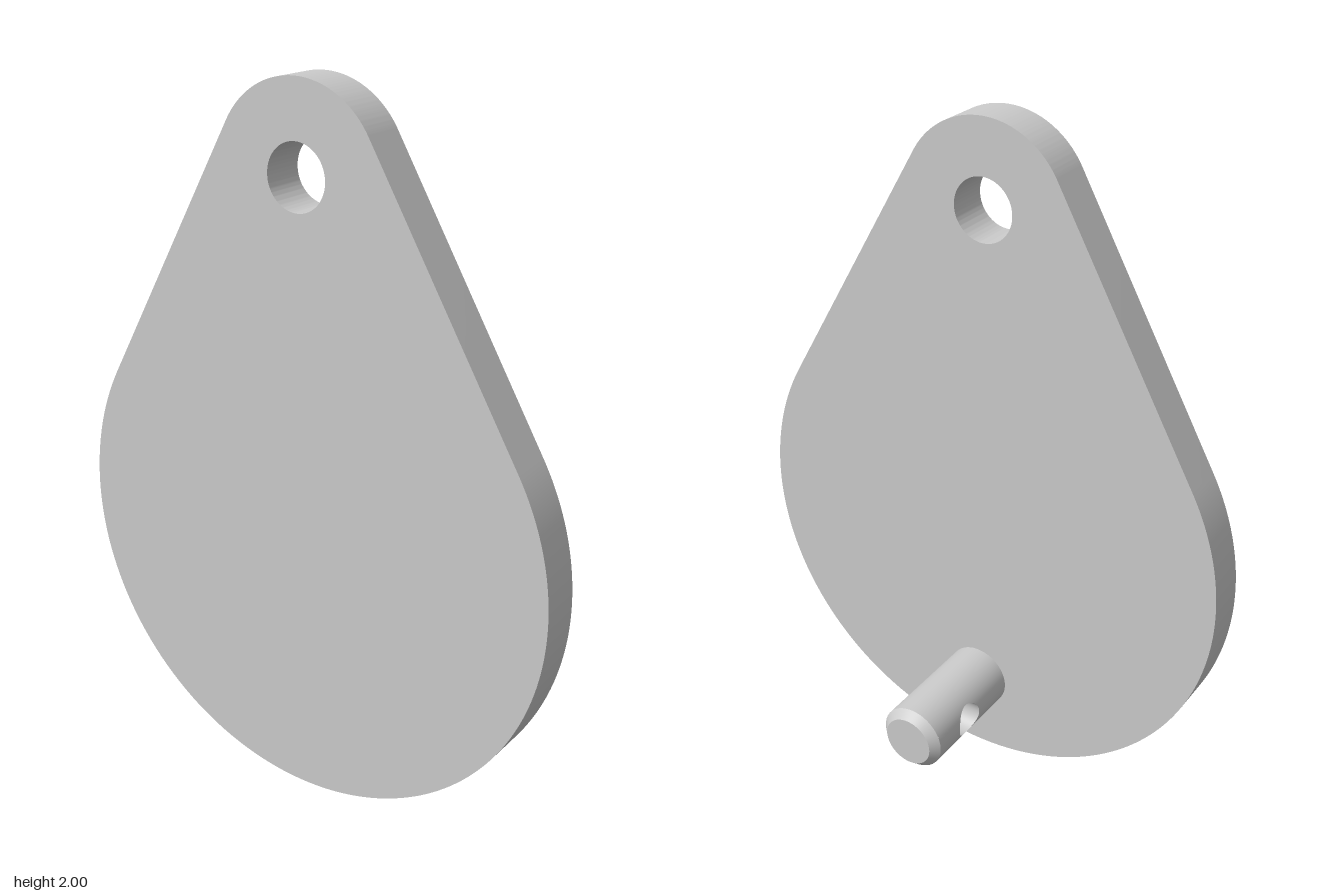
import * as THREE from 'three';
import { toCreasedNormals } from 'three/addons/utils/BufferGeometryUtils.js';

const RAD = Math.PI / 180;
const PLATE_X = -0.25, PLATE_T = 0.125;
const PIN_Y = 0.25, PIN_R = 0.098, PIN_END = 0.25, CHAMFER = 0.025;
const HOLE_X = 0.072, HOLE_R = 0.052;

// Teardrop plate: two circles joined by their outer tangents, with a hanging hole
function plateGeometry() {
  const shape = new THREE.Shape();
  shape.absarc(0, 0.75, 0.75, 150 * RAD, 390 * RAD, false);
  shape.absarc(0, 1.75, 0.25, 30 * RAD, 150 * RAD, false);
  shape.closePath();
  const hole = new THREE.Path();
  hole.absarc(0, 1.755, 0.089, 0, Math.PI * 2, true);
  shape.holes.push(hole);
  const geo = new THREE.ExtrudeGeometry(shape, { depth: PLATE_T, bevelEnabled: false, curveSegments: 96 });
  geo.rotateY(Math.PI / 2).translate(PLATE_X, 0, 0);
  return toCreasedNormals(geo, 0.5);
}

// Half of the pin's wall, wrapped as rings that run from its border to the cross hole
function pinHalfGeometry() {
  const geo = new THREE.PlaneGeometry(1, 1, 96, 10);
  const pos = geo.attributes.position, nor = geo.attributes.normal;
  const left = HOLE_X - (PLATE_X + PLATE_T), right = PIN_END - CHAMFER - HOLE_X;
  for (let i = 0; i < pos.count; i++) {
    const t = (pos.getX(i) + 0.5) * Math.PI * 2, k = 0.5 - pos.getY(i);
    const c = Math.cos(t), s = Math.sin(t), m = Math.max(Math.abs(c), Math.abs(s));
    const x = THREE.MathUtils.lerp(HOLE_R * c, (c / m) * (c > 0 ? right : left), k);
    const a = THREE.MathUtils.lerp(Math.asin(HOLE_R * s / PIN_R), (s / m) * Math.PI / 2, k);
    pos.setXYZ(i, HOLE_X + x, PIN_R * Math.sin(a), PIN_R * Math.cos(a));
    nor.setXYZ(i, 0, Math.sin(a), Math.cos(a));
  }
  return geo;
}

// Wall of the cross hole, its ends trimmed to the round of the pin
function crossHoleGeometry() {
  const geo = new THREE.CylinderGeometry(HOLE_R, HOLE_R, 1, 96, 1, true).rotateX(Math.PI / 2);
  const pos = geo.attributes.position;
  for (let i = 0; i < pos.count; i++) {
    const y = pos.getY(i);
    pos.setZ(i, Math.sign(pos.getZ(i)) * Math.sqrt(PIN_R ** 2 - y ** 2));
  }
  return geo.translate(HOLE_X, 0, 0);
}

export function createModel() {
  const group = new THREE.Group();
  group.name = 'plateWithPin';
  const grey = new THREE.MeshStandardMaterial({ color: 0xcccccc });
  const inside = new THREE.MeshStandardMaterial({ color: 0xcccccc, side: THREE.DoubleSide });
  const add = (parent, name, geo, mat = grey) => {
    const mesh = new THREE.Mesh(geo, mat);
    mesh.name = name;
    parent.add(mesh);
    return mesh;
  };

  add(group, 'plate', plateGeometry());

  // Pin with a cross hole and a chamfered tip
  const pin = new THREE.Group();
  pin.name = 'pin';
  pin.position.y = PIN_Y;
  group.add(pin);
  const half = pinHalfGeometry();
  add(pin, 'pinFrontWall', half);
  add(pin, 'pinBackWall', half).rotation.x = Math.PI;
  add(pin, 'crossHole', crossHoleGeometry(), inside);
  const tip = new THREE.CylinderGeometry(0.075, PIN_R, CHAMFER, 64);
  tip.rotateZ(-Math.PI / 2).translate(PIN_END - CHAMFER / 2, 0, 0);
  add(pin, 'pinTip', tip);

  return group;
}
